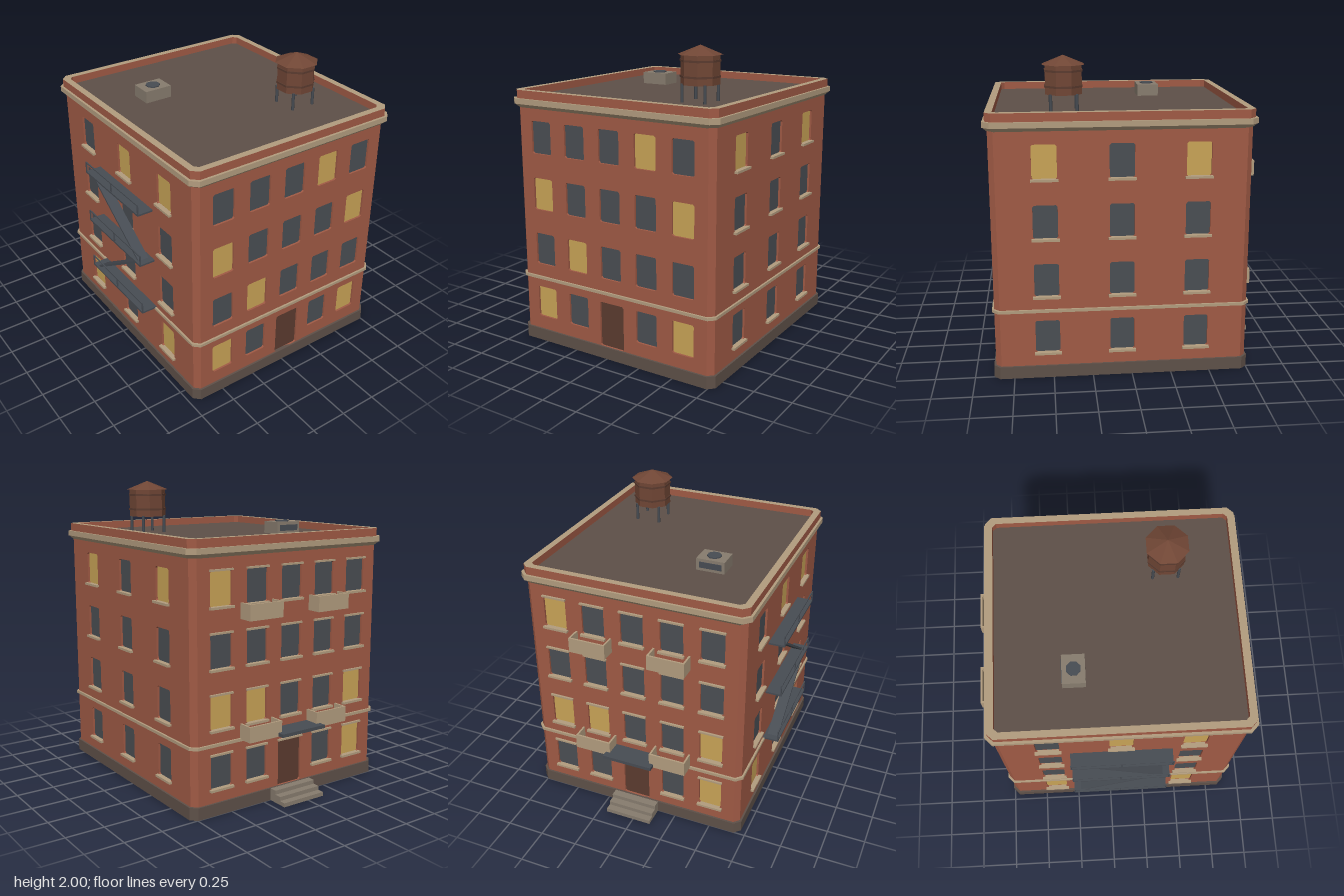
import * as THREE from 'three';

const mat = (name, color) => {
  const m = new THREE.MeshStandardMaterial({ color, side: THREE.DoubleSide });
  m.name = name;
  return m;
};
const M = {
  brick: mat('brick', 0xa05a45), glass: mat('dark glass', 0x4a4e53),
  lit: mat('lit window', 0xc8a356), trim: mat('tan trim', 0xb29c7e),
  base: mat('plinth and roof', 0x5e5048), door: mat('door wood', 0x5b3b2f),
  wood: mat('tank wood', 0x704635), iron: mat('slate iron', 0x474c53),
  stone: mat('stone', 0x877c6e),
};
const CX = 0.037, CZ = 0.063;        // building centre
const HX = 0.737, HZ = 0.803;        // wall half sizes
const CH = 0.035;                    // corner chamfer
const WALL = 0.03, TOP = 1.63;

function add(parent, name, geo, material, x = 0, y = 0, z = 0) {
  const m = new THREE.Mesh(geo, material);
  m.name = name;
  m.position.set(x, y, z);
  parent.add(m);
  return m;
}
// box given by its minimum and maximum corners
function box(parent, name, material, x0, x1, y0, y1, z0, z1) {
  return add(parent, name, new THREE.BoxGeometry(x1 - x0, y1 - y0, z1 - z0), material,
    (x0 + x1) / 2, (y0 + y1) / 2, (z0 + z1) / 2);
}
// rectangle with cut corners
function cutRect(w, h, c, x = 0, y = 0, Type = THREE.Shape) {
  return new Type([[w - c, -h], [w, c - h], [w, h - c], [w - c, h], [c - w, h], [-w, h - c], [-w, c - h], [c - w, -h]]
    .map(([a, b]) => new THREE.Vector2(x + a, y + b)));
}
// horizontal ring or slab with cut corners; taper narrows its lower edge
function ring(parent, name, material, hx, hz, c, y0, y1, inset = 0, taper = 0) {
  const s = cutRect(hx, hz, c);
  if (inset) s.holes.push(cutRect(hx - inset, hz - inset, c * 0.6, 0, 0, THREE.Path));
  const g = new THREE.ExtrudeGeometry(s, { depth: y1 - y0, bevelEnabled: false });
  g.rotateX(-Math.PI / 2);
  if (taper) {
    const p = g.attributes.position;
    for (let i = 0; i < p.count; i++) {
      if (p.getY(i) > 0.001) continue;
      p.setX(i, p.getX(i) - Math.sign(p.getX(i)) * taper);
      p.setZ(i, p.getZ(i) - Math.sign(p.getZ(i)) * taper);
    }
    g.computeVertexNormals();
  }
  return add(parent, name, g, material, 0, y0, 0);
}

// One facade; rows run top to bottom, left to right as seen from outside.
// o = dark window, L = lit window, D = door
function facade(parent, name, angle, half, dist, spacing, rows, sills, lintels) {
  const f = new THREE.Group();
  f.name = name;
  f.rotation.y = angle;
  f.position.set(Math.sin(angle) * dist, 0, Math.cos(angle) * dist);
  const w = half - CH;
  const wall = new THREE.Shape([[-w, 0.02], [w, 0.02], [w, TOP], [-w, TOP]].map(p => new THREE.Vector2(...p)));
  rows.forEach((row, r) => [...row].forEach((k, i) => {
    const u = (i - (row.length - 1) / 2) * spacing;
    const isDoor = k === 'D';
    const y0 = isDoor ? 0.08 : 0.17 + 0.375 * (3 - r);
    const y1 = isDoor ? 0.383 : y0 + 0.213;
    const hw = isDoor ? 0.092 : 0.077, hh = (y1 - y0) / 2;
    wall.holes.push(cutRect(hw, hh, 0.01, u, y0 + hh, THREE.Path));
    box(f, isDoor ? 'door' : 'windowPane', isDoor ? M.door : k === 'L' ? M.lit : M.glass,
      u - hw - 0.004, u + hw + 0.004, y0 - 0.004, y1 + 0.004, -0.022, -0.014);
    if (sills && !isDoor) box(f, 'windowSill', M.trim, u - 0.086, u + 0.086, y0 - 0.013, y0 + 0.002, -0.012, 0.021);
    if (lintels) box(f, 'windowLintel', M.trim, u - hw - 0.006, u + hw + 0.006, y1 - 0.002, y1 + 0.01, -0.008, 0.014);
  }));
  const g = new THREE.ExtrudeGeometry(wall, { depth: WALL, bevelEnabled: false });
  add(f, 'brickWall', g, M.brick, 0, 0, -WALL);
  parent.add(f);
}

function waterTank(parent) {
  const t = new THREE.Group();
  t.name = 'waterTank';
  t.position.set(0.405, 0, 0.4);
  const oct = (name, r0, r1, y0, y1, m) => {
    const g = new THREE.CylinderGeometry(r1, r0, y1 - y0, 8).toNonIndexed();
    g.rotateY(Math.PI / 8);
    g.computeVertexNormals();
    add(t, name, g, m, 0, (y0 + y1) / 2, 0);
  };
  oct('tankBody', 0.124, 0.124, 1.76, 1.95, M.wood);
  oct('tankBand', 0.129, 0.129, 1.803, 1.816, M.door);
  oct('tankBand', 0.129, 0.129, 1.9, 1.913, M.door);
  oct('tankRoof', 0.142, 0.002, 1.943, 2.0, M.wood);
  for (const x of [-0.082, 0.082]) for (const z of [-0.082, 0.082])
    add(t, 'tankLeg', new THREE.CylinderGeometry(0.01, 0.01, 0.12, 6), M.iron, x, 1.705, z);
  parent.add(t);
}

function roofVent(parent) {
  const v = new THREE.Group();
  v.name = 'roofVent';
  box(v, 'ventBox', M.stone, -0.395, -0.205, 1.64, 1.73, -0.288, -0.142);
  add(v, 'ventFan', new THREE.CylinderGeometry(0.048, 0.048, 0.009, 8).rotateY(Math.PI / 8), M.iron, -0.3, 1.733, -0.215);
  box(v, 'ventGrille', M.iron, -0.375, -0.225, 1.67, 1.71, -0.292, -0.286);
  parent.add(v);
}

// Open-topped balcony on the back wall
function balcony(parent, x, y) {
  const b = new THREE.Group();
  b.name = 'balcony';
  const w = 0.125, z0 = -0.84, z1 = -0.735, t = 0.012;
  box(b, 'balconyFloor', M.trim, x - w, x + w, y, y + 0.015, z0, z1);
  box(b, 'balconyFront', M.trim, x - w, x + w, y, y + 0.1, z0, z0 + t);
  for (const s of [-1, 1]) {
    const a = x + s * (w - t / 2);
    box(b, 'balconySide', M.trim, a - t / 2, a + t / 2, y, y + 0.1, z0, z1);
  }
  parent.add(b);
}

function fireEscape(parent) {
  const e = new THREE.Group();
  e.name = 'fireEscape';
  const z0 = -0.27, z1 = 0.4, xo = -0.808, levels = [0.452, 0.828, 1.205];
  levels.forEach((y, i) => {
    box(e, 'platform', M.iron, xo, -0.695, y, y + 0.012, z0, z1);
    box(e, 'handrail', M.iron, xo, xo + 0.008, y + 0.074, y + 0.082, z0, z1);
    for (const z of [z0, (z0 + z1) / 2 - 0.004, z1 - 0.008])
      box(e, 'railPost', M.iron, xo, xo + 0.008, y, y + 0.082, z, z + 0.008);
    if (i === 2) return;
    // flights zigzag between the platforms
    const dir = i === 0 ? 1 : -1, dz = 0.57 * dir, dy = levels[i + 1] - y;
    const flight = add(e, 'stairFlight', new THREE.BoxGeometry(0.072, 0.014, Math.hypot(dz, dy)), M.iron,
      -0.755, y + dy / 2 + 0.006, 0.065);
    flight.rotation.x = -Math.atan2(dy, Math.abs(dz)) * dir;
  });
  parent.add(e);
}

export function createModel() {
  const model = new THREE.Group();
  model.name = 'apartmentBuilding';
  const body = new THREE.Group();
  body.name = 'buildingBody';
  body.position.set(CX, 0, CZ);
  model.add(body);

  // walls with recessed windows
  facade(body, 'frontFacade', 0, HX, HZ, 0.267, ['oooLo', 'LoooL', 'oLooo', 'LoDoL'], false, false);
  facade(body, 'leftFacade', Math.PI / 2, HZ, HX, 0.471, ['LoL', 'ooo', 'ooo', 'ooo'], true, false);
  facade(body, 'backFacade', Math.PI, HX, HZ, 0.267, ['Loooo', 'ooooo', 'LLooL', 'ooDoL'], true, true);
  facade(body, 'rightFacade', -Math.PI / 2, HZ, HX, 0.471, ['oLL', 'ooo', 'ooo', 'LoL'], true, false);

  // chamfered corners
  for (const sx of [-1, 1]) for (const sz of [-1, 1]) {
    const n = 0.01 * Math.SQRT1_2;
    const c = add(body, 'cornerStrip', new THREE.BoxGeometry(CH * Math.SQRT2, TOP - 0.02, 0.02), M.brick,
      sx * (HX - CH / 2 - n), (TOP + 0.02) / 2, sz * (HZ - CH / 2 - n));
    c.rotation.y = sx * sz * Math.PI / 4;
  }

  // horizontal courses and roof
  ring(body, 'plinth', M.base, HX + 0.013, HZ + 0.013, 0.04, 0, 0.08, 0.05);
  ring(body, 'beltCourse', M.trim, HX + 0.013, HZ + 0.013, 0.04, 0.441, 0.46, 0.03);
  ring(body, 'corniceUnderside', M.trim, HX + 0.026, HZ + 0.026, 0.045, 1.588, 1.612, 0.05, 0.022);
  ring(body, 'cornice', M.trim, HX + 0.029, HZ + 0.029, 0.045, 1.612, 1.647, 0.06);
  ring(body, 'parapet', [M.trim, M.brick], HX + 0.013, HZ + 0.013, 0.04, 1.647, 1.7, 0.045);
  ring(body, 'roofDeck', M.base, HX - 0.02, HZ - 0.02, 0.03, 1.625, 1.65);

  waterTank(model);
  roofVent(model);
  for (const x of [CX - 0.267, CX + 0.267]) for (const y of [0.451, 1.205]) balcony(model, x, y);
  fireEscape(model);

  // back entrance
  box(model, 'entranceCanopy', M.iron, CX - 0.172, CX + 0.172, 0.455, 0.477, -0.885, -0.735);
  [-0.895, -0.85, -0.803].forEach((z, i) =>
    box(model, 'entranceStep', M.stone, CX - 0.16, CX + 0.16, i * 0.0265, (i + 1) * 0.0265, z, -0.735));
  return model;
}
